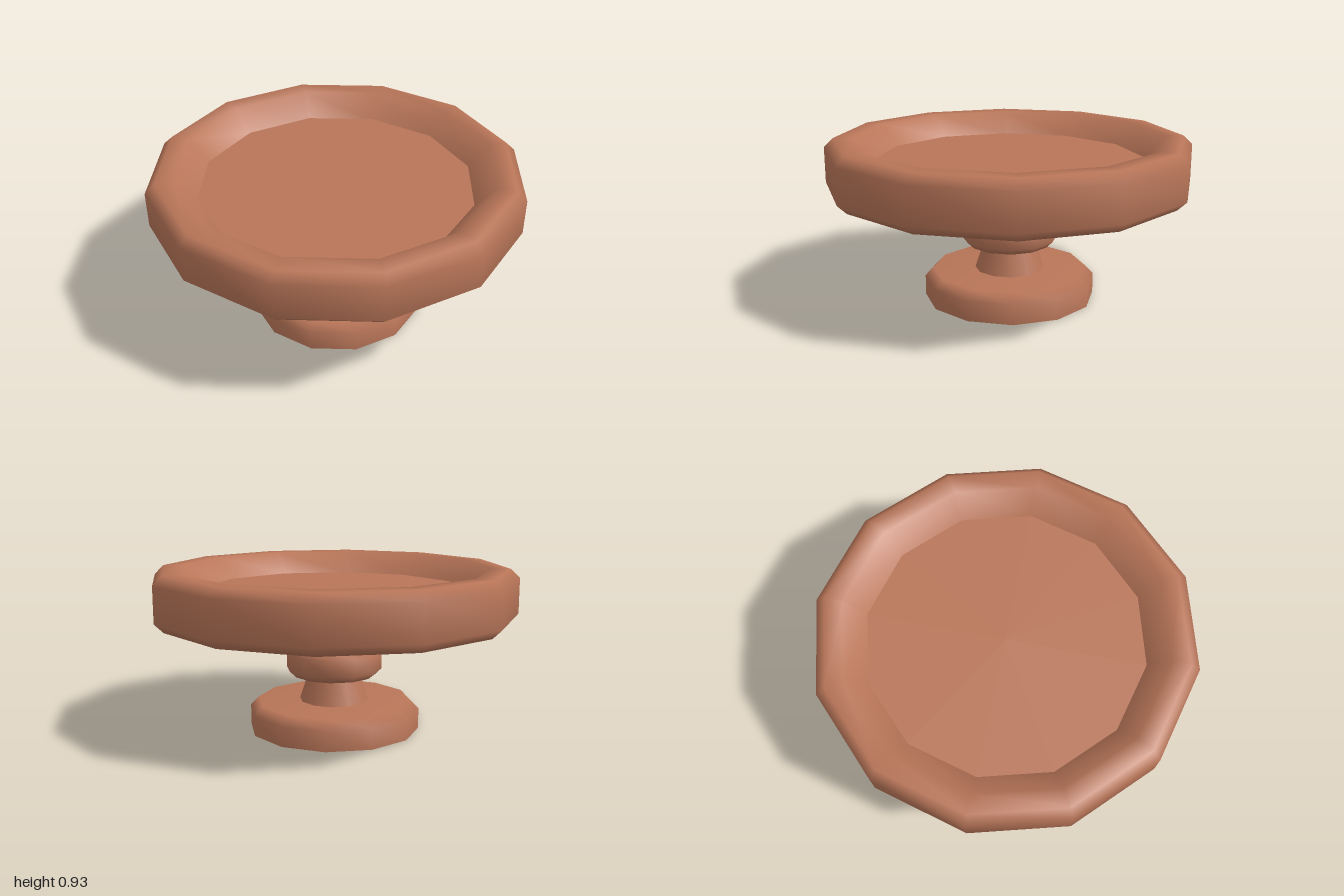
import * as THREE from 'three';

const SIDES = 12;
const TURN = Math.PI / SIDES; // flat sides face the axes
const SCALE = 1 / Math.cos(TURN); // flat-to-centre distance -> corner radius

export function createModel() {
  const model = new THREE.Group();
  model.name = 'pedestalDish';
  const clay = new THREE.MeshStandardMaterial({ color: 0xb87558 });
  clay.name = 'terracotta';

  const add = (name, geometry) => {
    const mesh = new THREE.Mesh(geometry, clay);
    mesh.name = name;
    model.add(mesh);
    return mesh;
  };

  // Smooth twelve-sided turned part; profile of [flat radius, height] runs upward outside
  const turned = (name, profile) => add(name, new THREE.LatheGeometry(
    profile.map(([r, y]) => new THREE.Vector2(r * SCALE, y)), SIDES, TURN));

  // Flat twelve-sided cap
  const cap = (name, r, y, up) => {
    const geometry = new THREE.CircleGeometry(r * SCALE, SIDES, TURN);
    geometry.rotateX(up ? -Math.PI / 2 : Math.PI / 2);
    add(name, geometry).position.y = y;
  };

  // Foot
  cap('footUnderside', 0.473, 0, false);
  turned('foot', [[0.473, 0], [0.473, 0.115], [0.425, 0.165], [0, 0.165]]);

  // Stem with a collar in the middle
  turned('lowerStem', [[0.193, 0.16], [0.145, 0.315]]);
  turned('collar', [[0, 0.313], [0.228, 0.313], [0.265, 0.35], [0.265, 0.447], [0.228, 0.484], [0, 0.484]]);
  turned('upperStem', [[0.14, 0.48], [0.188, 0.635]]);

  // Bowl with a chamfered rim and a sunken flat floor
  turned('bowl', [[0, 0.63], [0.95, 0.63], [1, 0.68], [1, 0.88], [0.95, 0.93], [0.85, 0.93], [0.74, 0.805]]);
  cap('bowlFloor', 0.74, 0.805, true);

  return model;
}
